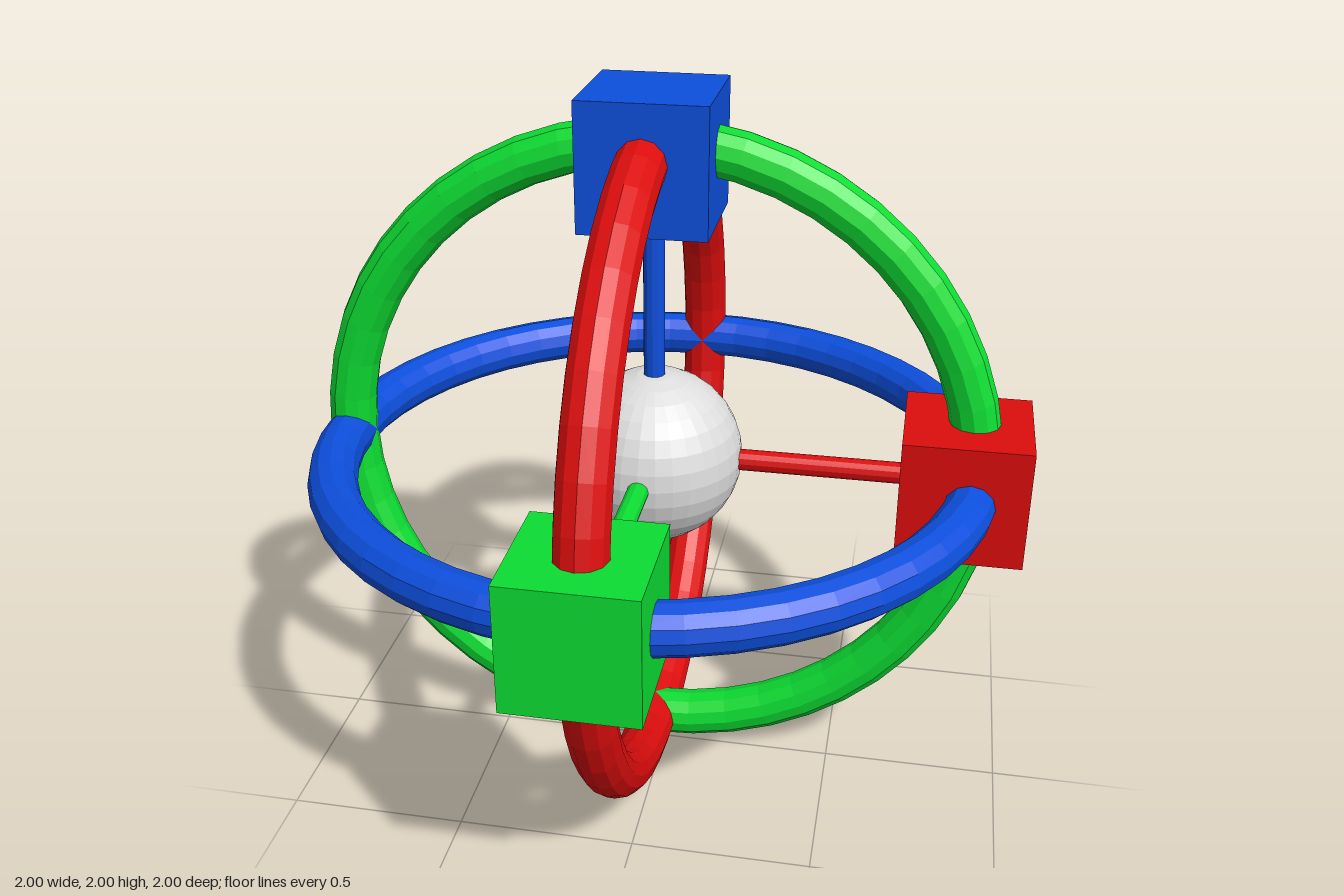
import * as THREE from 'three';

const mat = (name, color) => {
  const m = new THREE.MeshStandardMaterial({ color, flatShading: true });
  m.name = name;
  return m;
};

export function createModel() {
  const red = mat('red', 0xdd0d0d);
  const green = mat('green', 0x0ddd33);
  const blue = mat('blue', 0x0d4fdd);
  const grey = mat('light grey', 0xdddddd);

  const RING = 0.897, TUBE = 0.068;      // ring radius and thickness
  const CUBE = 0.343, REACH = 0.863;     // cube size and distance from the middle

  const model = new THREE.Group();
  model.name = 'axisGizmo';
  model.position.set(-0.035, 0.965, -0.035);

  const add = (name, geometry, material) => {
    const mesh = new THREE.Mesh(geometry, material);
    mesh.name = name;
    model.add(mesh);
    return mesh;
  };

  add('centreSphere', new THREE.SphereGeometry(0.248, 32, 16), grey);

  // each axis has a rod and a cube, and a ring lying in the plane across it
  const axes = [
    ['x', red, new THREE.Vector3(1, 0, 0)],
    ['y', blue, new THREE.Vector3(0, 1, 0)],
    ['z', green, new THREE.Vector3(0, 0, 1)],
  ];
  const up = new THREE.Vector3(0, 1, 0);
  for (const [axis, material, dir] of axes) {
    const rod = add(axis + 'Rod', new THREE.CylinderGeometry(0.03, 0.03, 0.55, 12), material);
    rod.quaternion.setFromUnitVectors(up, dir);
    rod.position.copy(dir).multiplyScalar(0.475);

    add(axis + 'Cube', new THREE.BoxGeometry(CUBE, CUBE, CUBE), material)
      .position.copy(dir).multiplyScalar(REACH);

    const ring = add(axis + 'Ring', new THREE.TorusGeometry(RING, TUBE, 12, 48), material);
    if (axis === 'x') ring.rotation.y = Math.PI / 2;
    if (axis === 'y') ring.rotation.x = Math.PI / 2;
  }

  const root = new THREE.Group();
  root.add(model);
  return root;
}
